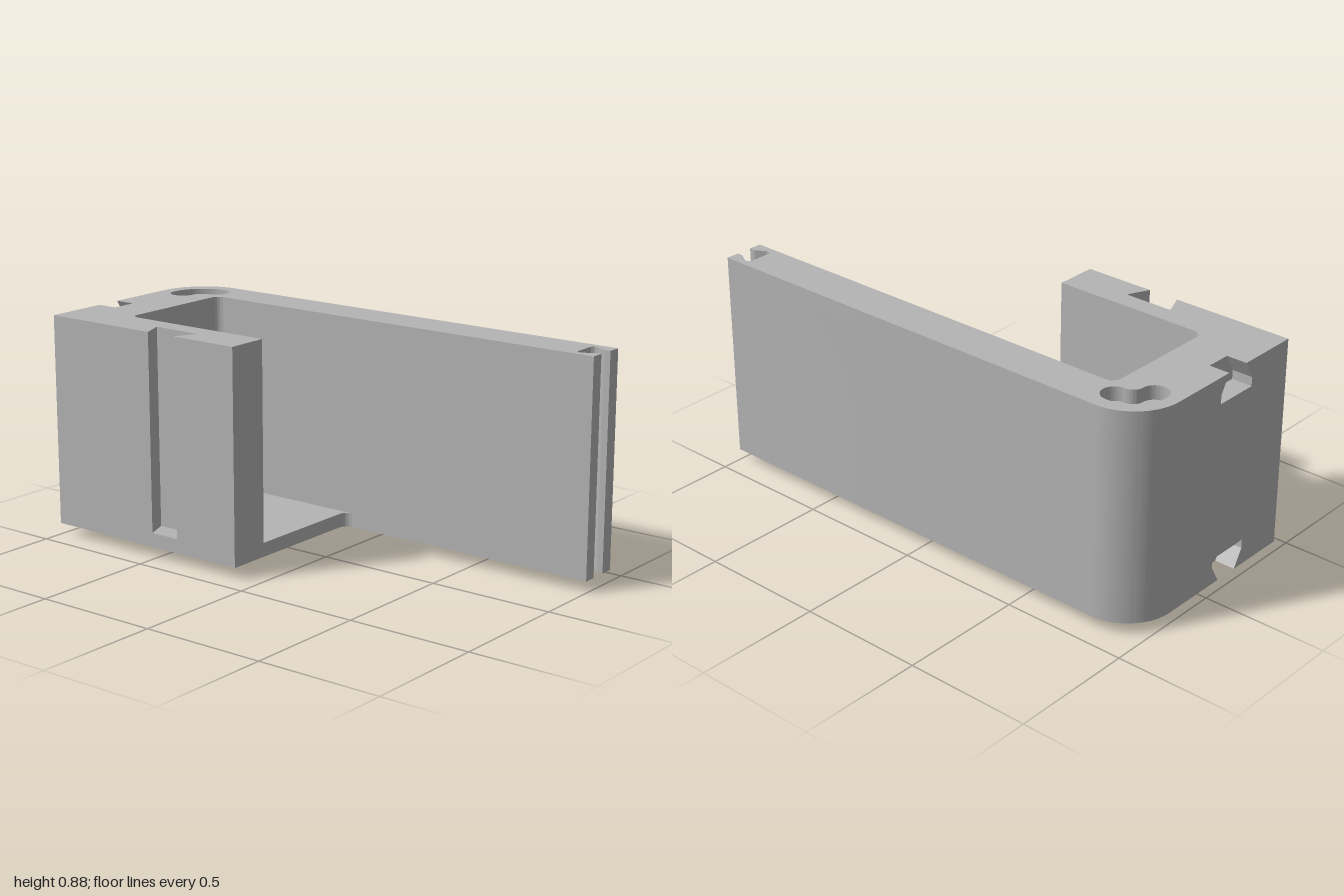
import * as THREE from 'three';
import { toCreasedNormals } from 'three/addons/utils/BufferGeometryUtils.js';

const BASE = 0.045, FLOOR = 0.1, TOP = 0.88; // body levels
const POCKET = 0.055;                        // depth of the curved pocket
const FILLET = 0.035;

const material = new THREE.MeshStandardMaterial({ color: 0xb4b4b4 });
material.name = 'grey';

function part(name, geometry) {
  const mesh = new THREE.Mesh(toCreasedNormals(geometry, 0.5), material);
  mesh.name = name;
  return mesh;
}

// Extrudes a plan drawn in (x, z) between two heights
function slab(name, shape, y0, y1) {
  const g = new THREE.ExtrudeGeometry(shape, { depth: y1 - y0, bevelEnabled: false, curveSegments: 16 });
  g.rotateX(Math.PI / 2).translate(0, y1, 0);
  return part(name, g);
}

const lines = (shape, points) => points.forEach(([x, z]) => shape.lineTo(x, z));

// Plan of the body: the whole base, or the walls round the open bay
function plan(hasBay) {
  const s = new THREE.Shape();
  s.moveTo(0.217, -1);
  s.absarc(0.217, -0.8, 0.2, -Math.PI / 2, 0, false);
  // long arm with a dovetail groove in its end
  lines(s, [[0.417, 1], [0.364, 1], [0.364, 0.975], [0.388, 0.935], [0.388, 0.92], [0.38, 0.91],
    [0.285, 0.91], [0.277, 0.92], [0.277, 0.935], [0.301, 0.975], [0.301, 1], [0.25, 1]]);
  if (hasBay) {
    s.lineTo(0.25, -0.715);
    s.absarc(0.215, -0.715, FILLET, 0, -Math.PI / 2, true);
    s.lineTo(-0.215, -0.75);
    s.absarc(-0.215, -0.715, FILLET, -Math.PI / 2, -Math.PI, true);
    lines(s, [[-0.25, -0.1], [-0.417, -0.1]]);
    // side dovetail groove, stopped at the floor
    lines(s, [[-0.417, -0.385], [-0.33, -0.345], [-0.33, -0.545], [-0.417, -0.51]]);
  } else {
    s.lineTo(0.25, -0.065);
    s.absarc(0.215, -0.065, FILLET, 0, -Math.PI / 2, true);
    s.lineTo(-0.417, -0.1);
  }
  // recess that holds the notched back panel
  lines(s, [[-0.417, -1], [-0.22, -1], [-0.22, -0.917], [-0.01, -0.917], [-0.01, -1]]);
  s.closePath();
  return s;
}

// Curved pocket that follows the rounded corner
function pocketHole() {
  const h = new THREE.Path(), x = 0.215, z = -0.803, r = 0.096, w = 0.052;
  h.absarc(x, z, r + w, -Math.PI / 2, 0, false);
  h.absarc(x + r, z, w, 0, Math.PI, false);
  h.absarc(x, z, r - w, 0, -Math.PI / 2, true);
  h.absarc(x, z - r, w, Math.PI / 2, Math.PI * 1.5, false);
  return h;
}

// Back panel with a dovetail notch at its top and bottom edges
function backPanel() {
  const c = -0.115, neck = 0.05, wide = 0.09, side = 0.105, deep = 0.105, straight = 0.035;
  const s = new THREE.Shape();
  s.moveTo(c - side, BASE);
  lines(s, [[c - neck, BASE], [c - wide, BASE + deep - straight], [c - wide, BASE + deep],
    [c + wide, BASE + deep], [c + wide, BASE + deep - straight], [c + neck, BASE], [c + side, BASE],
    [c + side, TOP], [c + neck, TOP], [c + wide, TOP - deep + straight], [c + wide, TOP - deep],
    [c - wide, TOP - deep], [c - wide, TOP - deep + straight], [c - neck, TOP], [c - side, TOP]]);
  s.closePath();
  const g = new THREE.ExtrudeGeometry(s, { depth: 0.083, bevelEnabled: false });
  return part('notchedBackPanel', g.translate(0, 0, -1));
}

export function createModel() {
  const group = new THREE.Group();
  group.name = 'cornerBracket';

  const rim = plan(true);
  rim.holes.push(pocketHole());
  group.add(
    slab('base', plan(false), BASE, FLOOR),
    slab('walls', plan(true), FLOOR, TOP - POCKET),
    slab('rim', rim, TOP - POCKET, TOP),
    backPanel()
  );

  // Chamfered locating peg under the rounded corner
  const profile = [[0, 0], [0.034, 0], [0.041, 0.007], [0.041, BASE]].map(([x, y]) => new THREE.Vector2(x, y));
  const peg = part('peg', new THREE.LatheGeometry(profile, 32));
  peg.position.set(0.283, 0, -0.868);
  group.add(peg);

  return group;
}
